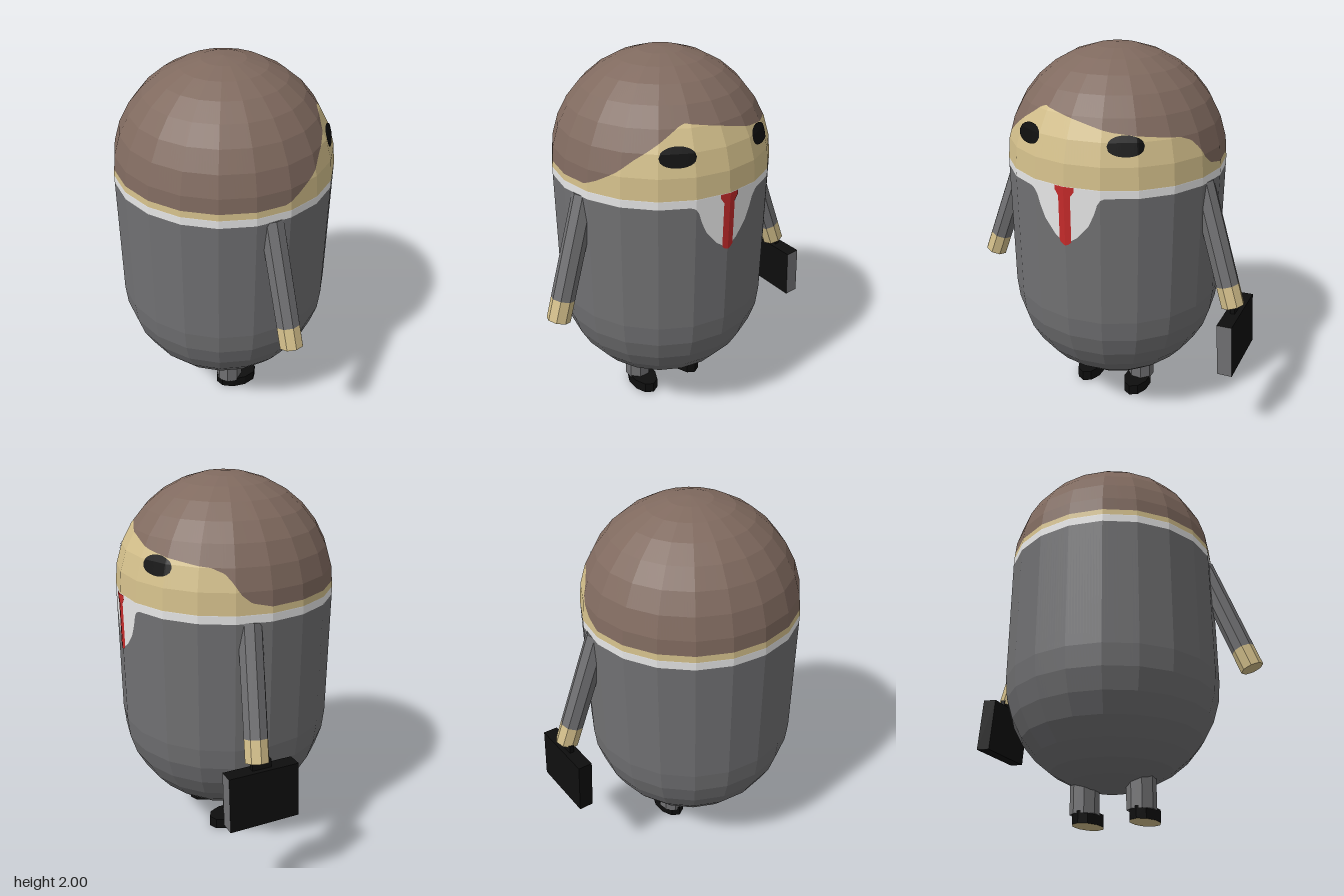
import * as THREE from 'three';

const paint = (name, color) => Object.assign(new THREE.MeshStandardMaterial({ color, flatShading: true }), { name });

export function createModel() {
  const suit = paint('suit grey', 0x707072);
  const hair = paint('hair brown', 0x806a5f);
  const skin = paint('skin tan', 0xd2be8a);
  const white = paint('shirt white', 0xf0f0f0);
  const red = paint('tie red', 0xc42a2a);
  const black = paint('black', 0x0e0e0e);

  const model = new THREE.Group();
  model.name = 'figure';
  const add = (parent, name, geometry, material) => {
    const mesh = new THREE.Mesh(geometry, material);
    mesh.name = name;
    parent.add(mesh);
    return mesh;
  };

  // Faceted capsule: 20 sides, 8 rings in each rounded end
  const R = 0.567, LOW = 0.722, HIGH = 1.433, SIDES = 20, RINGS = 8, CZ = 0.009;
  const rings = [];
  for (let i = 0; i <= RINGS; i++) {
    const a = (i / RINGS) * Math.PI / 2;
    rings.push([LOW - R * Math.cos(a), R * Math.sin(a)]);
  }
  for (let i = 0; i <= RINGS; i++) {
    const a = (i / RINGS) * Math.PI / 2;
    rings.push([HIGH + R * Math.sin(a), R * Math.cos(a)]);
  }
  const lerpTable = (table, x) => {
    if (x <= table[0][0]) return table[0][1];
    for (let i = 1; i < table.length; i++) {
      const [x0, y0] = table[i - 1], [x1, y1] = table[i];
      if (x <= x1) return y0 + (y1 - y0) * (x - x0) / (x1 - x0);
    }
    return table[table.length - 1][1];
  };
  // Point on the capsule at an angle in degrees (0 is the face, +x) and a height
  const onBody = (deg, y, lift) => {
    const step = 360 / SIDES;
    const within = (((deg % step) + step) % step) - step / 2;
    const k = Math.cos(Math.PI / SIDES) / Math.cos(THREE.MathUtils.degToRad(within));
    const r = lerpTable(rings, y) * k + lift;
    const a = THREE.MathUtils.degToRad(deg);
    return new THREE.Vector3(r * Math.cos(a), y, r * Math.sin(a) + CZ);
  };
  // Piece of the capsule surface between two edge curves
  const band = (name, material, from, to, step, low, high, lift = 0) => {
    const pos = [];
    const tri = (a, b, c) => {
      const area = b.clone().sub(a).cross(c.clone().sub(a)).length();
      if (area > 1e-8) for (const p of [a, b, c]) pos.push(p.x, p.y, p.z);
    };
    const rows = [-1, ...rings.map((r) => r[0]), 3];
    const count = Math.round((to - from) / step);
    const column = (i) => {
      const deg = from + (to - from) * i / count;
      const lo = low(deg), hi = high(deg);
      return rows.map((y) => onBody(deg, Math.min(Math.max(y, lo), hi), lift));
    };
    for (let i = 0; i < count; i++) {
      const p = column(i), q = column(i + 1);
      for (let j = 0; j < rows.length - 1; j++) {
        tri(p[j], p[j + 1], q[j + 1]);
        tri(p[j], q[j + 1], q[j]);
      }
    }
    const g = new THREE.BufferGeometry();
    g.setAttribute('position', new THREE.Float32BufferAttribute(pos, 3));
    g.computeVertexNormals();
    return add(model, name, g, material);
  };

  // Edge curves: [angle, height]
  const hairTable = [[-90, 1.468], [-80, 1.49], [-75, 1.53], [-71, 1.585], [-67, 1.625], [-60, 1.65],
    [-50, 1.66], [-23, 1.69], [0, 1.737], [15, 1.758], [21, 1.767], [25, 1.755], [31, 1.72], [48, 1.62],
    [57, 1.555], [67, 1.5], [75, 1.468]];
  const shirtTable = [[0, 1.14], [6.1, 1.18], [12.2, 1.25], [15.5, 1.325], [17, 1.38], [20, 1.395]];
  const hairLine = (d) => lerpTable(hairTable, d);
  const shirtLine = (d) => lerpTable(shirtTable, Math.abs(d));
  const level = (y) => () => y;
  const COLLAR = 1.436;

  // Body colours
  band('suitBody', suit, -180, 180, 1.5, level(LOW - R), shirtLine);
  band('shirtCollar', white, -180, 180, 1.5, shirtLine, level(COLLAR));
  band('face', skin, -180, 180, 1.5, level(COLLAR), hairLine);
  band('hair', hair, -180, 180, 1.5, hairLine, level(HIGH + R));

  // Tie
  band('tieStrip', red, -3.2, 3.2, 0.4, (d) => 1.135 + 0.02 * (d / 3.2) ** 2, level(COLLAR), 0.003);
  band('tieKnot', red, -5.2, 5.2, 0.4, (d) => 1.385 + Math.max(0, Math.abs(d) - 3) * 0.014, level(COLLAR), 0.004);

  // Eyes
  for (const [name, mid, half] of [['rightEye', 26.5, 9.4], ['leftEye', -30.2, 9.4]]) {
    const rise = (d) => 0.046 * Math.pow(Math.max(0, 1 - ((d - mid) / half) ** 2), 0.45);
    band(name, black, mid - half, mid + half, half / 12, (d) => 1.635 - rise(d), (d) => 1.635 + rise(d), 0.004);
  }

  // Tapered prism between two points
  const limb = (parent, name, a, b, r, material) => {
    const dir = b.clone().sub(a);
    const g = new THREE.CylinderGeometry(r, r, dir.length(), 8);
    g.rotateY(Math.PI / 8);
    const mesh = add(parent, name, g, material);
    mesh.position.copy(a).add(b).multiplyScalar(0.5);
    mesh.quaternion.setFromUnitVectors(new THREE.Vector3(0, 1, 0), dir.normalize());
  };

  for (const s of [1, -1]) {
    const side = s > 0 ? 'right' : 'left';
    // Arm with a hand at its end
    const shoulder = new THREE.Vector3(0.09, 1.38, CZ + s * 0.508);
    const tip = new THREE.Vector3(0.145, 0.762, CZ + s * 0.725);
    const wrist = shoulder.clone().lerp(tip, 0.825);
    const arm = new THREE.Group();
    arm.name = side + 'Arm';
    model.add(arm);
    limb(arm, 'sleeve', shoulder, wrist, 0.061, suit);
    limb(arm, 'hand', wrist, tip, 0.061, skin);

    // Leg and oval shoe with a pale sole
    const leg = new THREE.Group();
    leg.name = side + 'Leg';
    leg.position.set(0, 0, 0.013 + s * 0.154);
    model.add(leg);
    limb(leg, 'trouserLeg', new THREE.Vector3(-0.01, 0.24, 0), new THREE.Vector3(-0.01, 0.05, 0), 0.075, suit);
    const shoeGeo = new THREE.CylinderGeometry(1, 1, 0.062, 10);
    shoeGeo.scale(0.072, 1, 0.12);
    shoeGeo.rotateY(Math.PI / 2);
    add(leg, 'shoe', shoeGeo, [black, black, skin]).position.set(0.035, 0.031, 0);
  }

  // Briefcase held in the left hand, with one grey end
  const briefcase = new THREE.Group();
  briefcase.name = 'briefcase';
  briefcase.position.set(0.13, 0.59, -0.737);
  briefcase.rotation.x = 0.075;
  model.add(briefcase);
  add(briefcase, 'case', new THREE.BoxGeometry(0.365, 0.285, 0.077), [suit, black, black, black, black, black]);
  add(briefcase, 'handle', new THREE.BoxGeometry(0.1, 0.05, 0.025), black).position.y = 0.16;

  return model;
}
